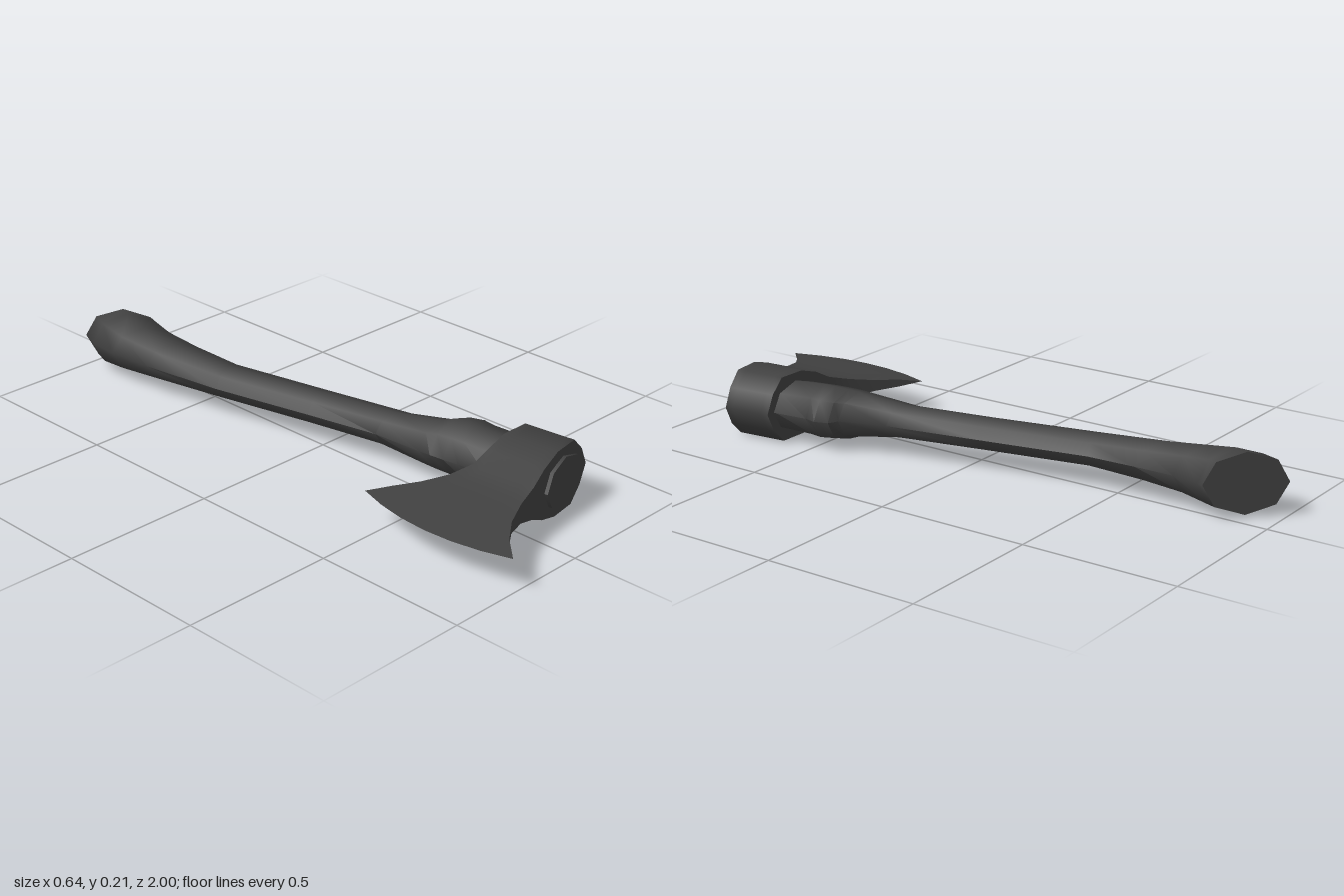
import * as THREE from 'three';
import { toCreasedNormals } from 'three/addons/utils/BufferGeometryUtils.js';

const MID = 0.106; // height of the symmetry plane

// Skin a row of closed rings and close both ends.
function loft(rings) {
  const n = rings[0].length, pos = [];
  const tri = (a, b, c) => pos.push(...a, ...b, ...c);
  for (let i = 0; i < rings.length - 1; i++) {
    for (let k = 0; k < n; k++) {
      const m = (k + 1) % n, p = rings[i], q = rings[i + 1];
      tri(p[k], p[m], q[m]);
      tri(p[k], q[m], q[k]);
    }
  }
  const cap = (r, flip) => {
    for (let k = 0; k < n / 2; k++) {
      const a = r[k], b = r[k + 1], c = r[n - k - 1], d = r[(n - k) % n];
      if (b !== c) flip ? tri(a, c, b) : tri(a, b, c);
      if (a !== d) flip ? tri(a, d, c) : tri(a, c, d);
    }
  };
  cap(rings[0], true);
  cap(rings[rings.length - 1], false);
  const g = new THREE.BufferGeometry();
  g.setAttribute('position', new THREE.Float32BufferAttribute(pos, 3));
  return toCreasedNormals(g, 1.0);
}

// Curved shaft with eight-sided sections: [left x, left z, right x, right z, half height]
function handleGeometry() {
  const sections = [
    [-0.13, -1.0, 0.045, -0.81, 0.097],
    [-0.157, -0.93, 0.04, -0.79, 0.096],
    [-0.165, -0.82, 0.025, -0.7, 0.08],
    [-0.152, -0.66, 0.026, -0.57, 0.065],
    [-0.11, -0.37, 0.032, -0.41, 0.051],
    [-0.035, -0.03, 0.1, -0.07, 0.051],
    [0.015, 0.21, 0.163, 0.25, 0.054],
    [0.024, 0.38, 0.215, 0.4, 0.074],
    [0.028, 0.42, 0.248, 0.415, 0.082],
    [0.033, 0.47, 0.262, 0.46, 0.085],
    [0.04, 0.52, 0.254, 0.5, 0.085],
    [0.05, 0.62, 0.267, 0.61, 0.08],
    [0.08, 0.83, 0.287, 0.79, 0.079],
  ];
  return loft(sections.map(([lx, lz, rx, rz, h]) =>
    Array.from({ length: 8 }, (_, k) => {
      const a = k * Math.PI / 4, t = (1 + Math.cos(a)) / 2;
      return [lx + (rx - lx) * t, MID + h * Math.sin(a), lz + (rz - lz) * t];
    })));
}

// Head from poll to cutting edge: [back x, back z, front x, front z, half thickness, bow]
function headGeometry() {
  const rows = [
    [0.298, 0.62, 0.318, 0.78, 0, 0],
    [0.27, 0.62, 0.29, 0.783, 0.06, 0],
    [0.225, 0.62, 0.243, 0.79, 0.106, 0],
    [0.13, 0.62, 0.148, 0.805, 0.106, 0],
    [0.055, 0.622, 0.07, 0.82, 0.082, 0],
    [0.0, 0.615, 0.01, 0.833, 0.052, 0],
    [-0.07, 0.585, -0.06, 0.847, 0.032, 0],
    [-0.14, 0.54, -0.14, 0.88, 0.019, 0.01],
    [-0.21, 0.49, -0.21, 0.93, 0.012, 0.028],
    [-0.27, 0.44, -0.27, 0.995, 0, 0.052],
  ];
  const rings = [];
  for (let i = 0; i <= 6; i++) {
    const t = i / 6;
    const point = (r, side) => [
      r[0] + (r[2] - r[0]) * t - r[5] * 4 * t * (1 - t),
      MID + side * r[4],
      r[1] + (r[3] - r[1]) * t,
    ];
    const upper = rows.map((r) => point(r, 1));
    const lower = rows.slice(1, -1).reverse().map((r) => point(r, -1));
    rings.push([...upper, ...lower]);
  }
  return loft(rings);
}

export function createModel() {
  const group = new THREE.Group();
  group.name = 'axe';
  const material = new THREE.MeshStandardMaterial({ color: 0x404040 });
  const add = (name, geometry) => {
    const mesh = new THREE.Mesh(geometry, material);
    mesh.name = name;
    group.add(mesh);
  };
  add('handle', handleGeometry());
  add('axeHead', headGeometry());
  return group;
}
